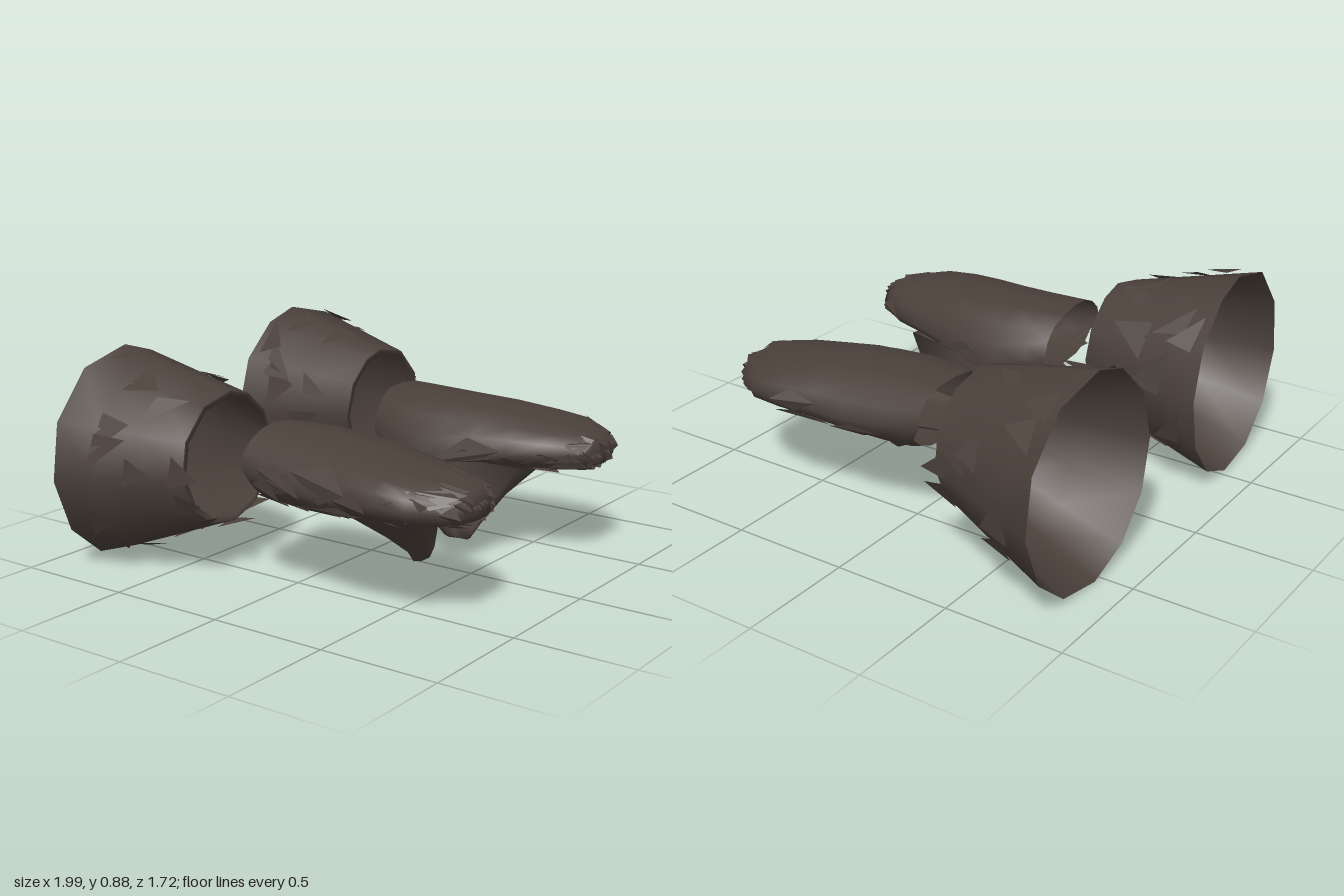
import * as THREE from 'three';

const leather = new THREE.MeshStandardMaterial({ color: 0x4a403a, side: THREE.DoubleSide });
leather.name = 'dark brown leather';

// small seeded generator so the torn scraps are repeatable
function seeded(seed) {
  return () => (seed = (seed * 16807) % 2147483647) / 2147483647;
}

function makeMesh(name, positions, indices, side) {
  const g = new THREE.BufferGeometry();
  g.setAttribute('position', new THREE.Float32BufferAttribute(positions, 3));
  for (let i = 0; side < 0 && i < indices.length; i += 3) {
    [indices[i + 1], indices[i + 2]] = [indices[i + 2], indices[i + 1]];
  }
  g.setIndex(indices);
  g.computeVertexNormals();
  const mesh = new THREE.Mesh(g, leather);
  mesh.name = name;
  return mesh;
}

// skin closed rings of Vector3 together, optionally capping the last ring
function loft(name, rings, side, cap = false) {
  const n = rings[0].length, positions = [], indices = [];
  rings.forEach(r => r.forEach(p => positions.push(p.x * side, p.y, p.z)));
  for (let i = 0; i < rings.length - 1; i++) {
    for (let j = 0; j < n; j++) {
      const a = i * n + j, b = i * n + (j + 1) % n;
      indices.push(a, b, a + n, b, b + n, a + n);
    }
  }
  if (cap) {
    const base = (rings.length - 1) * n;
    for (let j = 1; j < n - 1; j++) indices.push(base, base + j, base + j + 1);
  }
  return makeMesh(name, positions, indices, side);
}

// point on the flared cuff; t runs from the wide rear rim to the front opening
function cuffPoint(t, angle, lift = 0) {
  const c = Math.cos(angle), s = Math.sin(angle);
  const rx = 0.412 - 0.135 * t + lift, ry = (s > 0 ? 0.432 - 0.16 * t : 0.45 - 0.178 * t) + lift;
  return new THREE.Vector3(0.588 - 0.053 * t + rx * c, 0.447 + 0.028 * t + ry * s,
    -0.855 + 0.535 * t + 0.015 * c * (1 - t));
}

// uneven hand-cut rim, outer wall and a thin lining that closes in at the front
const rimAngles = [-7, 25, 60, 95, 118, 147, 178, 207, 235, 263, 293, 322].map(a => a * Math.PI / 180);
function makeCuff(side) {
  const ring = (t, lift) => rimAngles.map(a => cuffPoint(t, a, lift));
  const outer = loft('cuffOuter', [0, 0.33, 0.67, 1].map(t => ring(t, 0)), side);
  const lining = loft('cuffLining', [[1, 0], [1, -0.022], [0.5, -0.014], [0, 0]].map(([t, l]) => ring(t, l)), side);
  return [outer, lining];
}

// pointed scraps lying along the cuff, a few reaching past its front edge
function makeCuffScraps(side) {
  const rnd = seeded(side > 0 ? 421 : 877), positions = [], indices = [];
  const count = 24;
  for (let i = 0; i < count; i++) {
    const angle = (i * 0.382 + rnd() * 0.04) * Math.PI * 2;
    const t = i % 5 === 0 ? 0.88 : 0.04 + rnd() * 0.62;
    const len = 0.22 + rnd() * 0.1, half = 0.14 + rnd() * 0.12;
    const skew = (rnd() - 0.5) * 0.5, k = positions.length / 3;
    const pts = [
      cuffPoint(t, angle - half, 0.006), cuffPoint(t + 0.04, angle + half, 0.006),
      cuffPoint(t + len, angle + skew, 0.022),
    ];
    pts.forEach(p => positions.push(p.x * side, p.y, p.z));
    indices.push(k, k + 1, k + 2);
  }
  return makeMesh('cuffScraps', positions, indices, side);
}

// hand stations: z, inner x, outer x, top y, bottom y, outer edge y, inner edge y
const handStations = [
  [-0.14, 0.22, 0.67, 0.63, 0.35, 0.49, 0.45],
  [-0.06, 0.18, 0.675, 0.632, 0.335, 0.48, 0.42],
  [0.07, 0.145, 0.69, 0.63, 0.335, 0.46, 0.38],
  [0.22, 0.15, 0.705, 0.622, 0.345, 0.45, 0.39],
  [0.37, 0.18, 0.715, 0.612, 0.36, 0.46, 0.43],
  [0.52, 0.215, 0.735, 0.59, 0.37, 0.47, 0.45],
  [0.66, 0.25, 0.725, 0.57, 0.375, 0.47, 0.46],
  [0.77, 0.32, 0.64, 0.545, 0.39, 0.46, 0.46],
  [0.825, 0.37, 0.58, 0.51, 0.41, 0.455, 0.455],
];
function handPoint([z, x0, x1, top, bottom, midOut, midIn], angle, lift = 0) {
  const c = Math.cos(angle), s = Math.sin(angle);
  const x = (x0 + x1) / 2 + ((x1 - x0) / 2 + lift) * Math.sign(c) * Math.abs(c) ** 0.9;
  const mid = midOut + (midIn - midOut) * (1 - c) / 2;
  const h = (s > 0 ? top - mid : mid - bottom) + lift;
  return new THREE.Vector3(x, mid + h * Math.sign(s) * Math.abs(s) ** 0.9, z);
}

function makeHand(side) {
  const rings = handStations.map(st => Array.from({ length: 16 }, (_, i) => handPoint(st, i / 16 * Math.PI * 2)));
  // wrist edge: peaked on the back of the hand, cut away underneath
  rings[0].forEach(p => {
    p.z += p.y < 0.45 ? 0.035 : -0.02 * Math.max(0, 1 - Math.abs(p.x - 0.38) / 0.2);
  });
  return loft('hand', rings, side, true);
}

// thumb and its broad web, narrowing from the palm down to a blunt tip
function makeThumb(side) {
  const v = (x, y, z) => new THREE.Vector3(x, y, z);
  const root = [v(0.18, 0.42, -0.1), v(0.38, 0.35, -0.11), v(0.52, 0.38, 0.2),
    v(0.48, 0.375, 0.56), v(0.24, 0.4, 0.57), v(0.16, 0.42, 0.25)];
  const middle = [v(0.145, 0.27, 0.03), v(0.24, 0.235, 0.02), v(0.34, 0.25, 0.24),
    v(0.33, 0.25, 0.46), v(0.2, 0.26, 0.47), v(0.135, 0.28, 0.27)];
  const tip = [v(0.115, 0.16, 0.22), v(0.17, 0.14, 0.2), v(0.22, 0.14, 0.32),
    v(0.21, 0.14, 0.41), v(0.15, 0.14, 0.42), v(0.11, 0.15, 0.34)];
  const end = [v(0.105, 0.1, 0.3), v(0.14, 0.08, 0.3), v(0.18, 0.07, 0.34),
    v(0.18, 0.08, 0.38), v(0.14, 0.085, 0.39), v(0.105, 0.1, 0.36)];
  return loft('thumb', [root, middle, tip, end], side, true);
}

// crumpled scraps around the fingertips, palm and side edges
function makeHandScraps(side) {
  const rnd = seeded(side > 0 ? 1913 : 3271), positions = [], indices = [];
  const station = u => {
    const i = Math.min(Math.floor(u), handStations.length - 2), f = u - i;
    return handStations[i].map((a, k) => a + (handStations[i + 1][k] - a) * f);
  };
  const scrap = (u, angle, du, da, lift) => {
    const k = positions.length / 3;
    const at = (a, b, l) => handPoint(station(Math.min(8, Math.max(0, a))), b, l);
    [at(u, angle - da, 0.003), at(u - du, angle + da * 0.3, 0.005),
      at(u + du * 0.2, angle + da, 0.003), at(u + du, angle + (rnd() - 0.5) * da, lift)]
      .forEach(p => positions.push(p.x * side, p.y, p.z));
    indices.push(k, k + 1, k + 3, k + 1, k + 2, k + 3);
  };
  for (let i = 0; i < 26; i++) {
    scrap(6.6 + rnd() * 1.1, rnd() * Math.PI * 2, 0.5 + rnd() * 0.4, 0.25 + rnd() * 0.25, 0.008 + rnd() * 0.018);
  }
  for (let i = 0; i < 20; i++) {
    scrap(0.8 + rnd() * 5.5, 0.3 - rnd() * (Math.PI + 0.4), 0.6 + rnd() * 0.5, 0.25 + rnd() * 0.25, 0.008 + rnd() * 0.012);
  }
  // blunt crumpled fingertip ends facing forward
  for (let i = 0; i < 8; i++) {
    const x = 0.385 + 0.18 * i / 7, y = 0.44 + rnd() * 0.05, k = positions.length / 3;
    positions.push((x - 0.04) * side, y + 0.035, 0.8, (x + 0.04) * side, y + 0.03, 0.8,
      x * side, y - 0.045, 0.81, x * side, y, 0.84 + rnd() * 0.015);
    indices.push(k + 1, k, k + 3, k + 2, k + 1, k + 3, k, k + 2, k + 3);
  }
  const mesh = makeMesh('handScraps', positions, indices, side);
  mesh.geometry = mesh.geometry.toNonIndexed();
  mesh.geometry.computeVertexNormals();
  return mesh;
}

export function createModel() {
  const model = new THREE.Group();
  model.name = 'tornGloves';
  for (const side of [1, -1]) {
    const glove = new THREE.Group();
    glove.name = side > 0 ? 'leftGlove' : 'rightGlove';
    glove.add(...makeCuff(side), makeCuffScraps(side), makeHand(side), makeThumb(side), makeHandScraps(side));
    model.add(glove);
  }
  return model;
}
